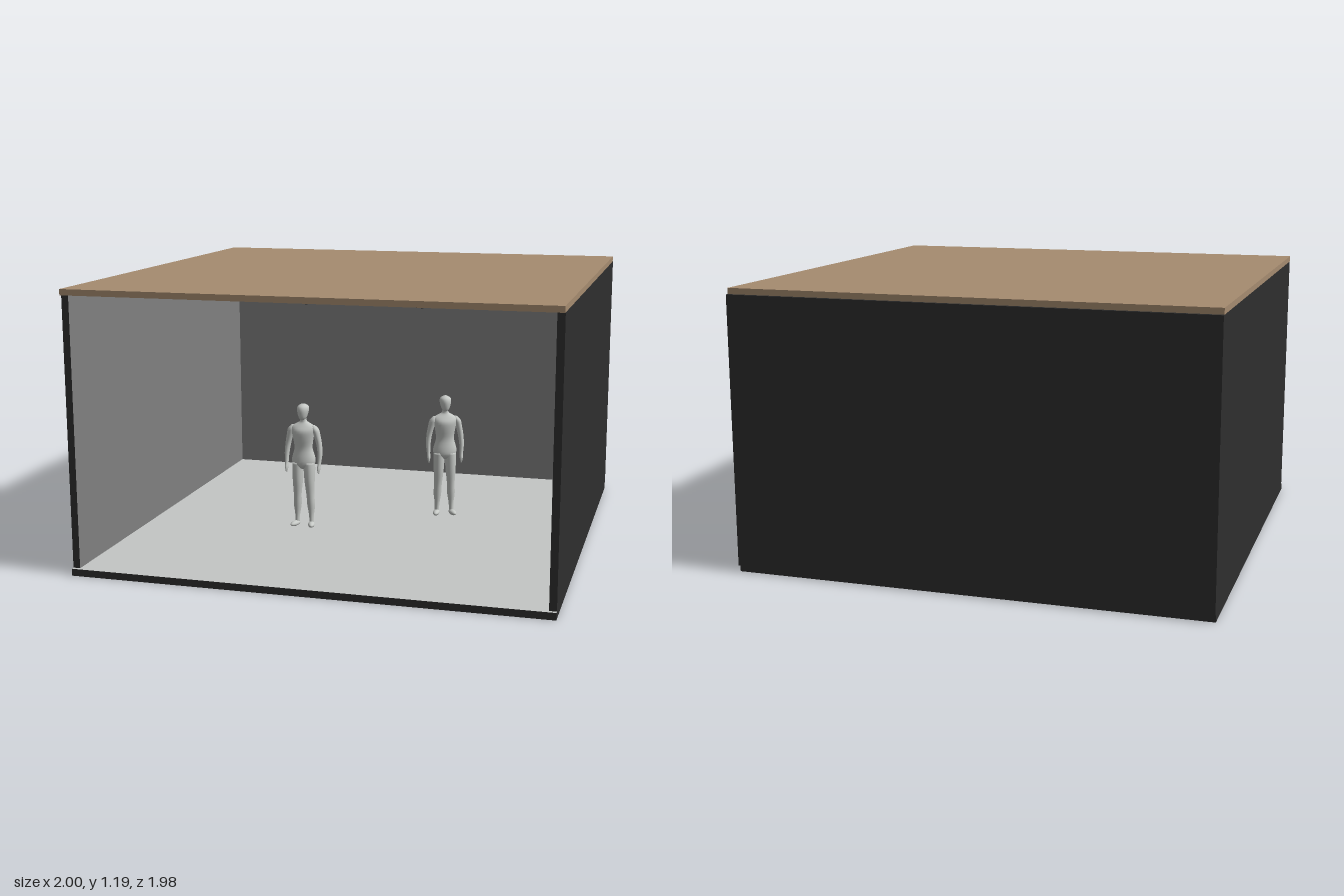
import * as THREE from 'three';

const mat = (name, color) => new THREE.MeshStandardMaterial({ name, color });

// Smooth closed skin through elliptical rings [x, y, z, radiusX, radiusZ], listed bottom to top
function loft(rings, sides = 18) {
  const pos = [], idx = [];
  const curve = (k, t) => {
    const n = rings.length - 1, f = t * n, i = Math.min(Math.floor(f), n - 1), u = f - i;
    const p = j => rings[Math.max(0, Math.min(n, j))][k];
    const m0 = (p(i + 1) - p(i - 1)) / 2, m1 = (p(i + 2) - p(i)) / 2;
    return p(i) * (2 * u ** 3 - 3 * u * u + 1) + m0 * (u ** 3 - 2 * u * u + u)
      + p(i + 1) * (3 * u * u - 2 * u ** 3) + m1 * (u ** 3 - u * u);
  };
  const steps = (rings.length - 1) * 3;
  for (let s = 0; s <= steps; s++) {
    const [x, y, z, rx, rz] = [0, 1, 2, 3, 4].map(k => curve(k, s / steps));
    for (let a = 0; a < sides; a++) {
      const t = a / sides * Math.PI * 2;
      pos.push(x + Math.sin(t) * rx, y, z + Math.cos(t) * rz);
      if (s < steps) {
        const b = (a + 1) % sides, p = s * sides, q = p + sides;
        idx.push(p + a, p + b, q + b, p + a, q + b, q + a);
      }
    }
  }
  // End caps
  [[0, 0], [steps, rings.length - 1]].forEach(([s, r]) => {
    const c = pos.length / 3;
    pos.push(rings[r][0], rings[r][1], rings[r][2]);
    for (let a = 0; a < sides; a++) {
      const p = s * sides + a, q = s * sides + (a + 1) % sides;
      idx.push(c, s ? p : q, s ? q : p);
    }
  });
  const g = new THREE.BufferGeometry();
  g.setAttribute('position', new THREE.Float32BufferAttribute(pos, 3));
  g.setIndex(idx);
  g.computeVertexNormals();
  return g;
}

export function createModel() {
  const dark = mat('charcoal', 0x2e2e2e);
  const grey = mat('wall grey', 0x808080);
  const wood = mat('ceiling wood', 0xa68c70);
  const pale = mat('floor pale grey', 0xc4c6c5);
  const body = mat('mannequin grey', 0xc6c9c6);

  const model = new THREE.Group();
  model.name = 'exhibitionRoom';
  const add = (parent, name, geo, material, x = 0, y = 0, z = 0) => {
    const m = new THREE.Mesh(geo, material);
    m.name = name;
    m.position.set(x, y, z);
    parent.add(m);
    return m;
  };
  const box = (w, h, d) => new THREE.BoxGeometry(w, h, d);
  // Box faces all dark except one (order: +x -x +y -y +z -z)
  const faces = (i, m) => Array.from({ length: 6 }, (_, k) => (k === i ? m : dark));

  // Room shell
  add(model, 'floor', box(2, 0.03, 1.965), faces(2, pale), 0, 0.015, 0.0075);
  add(model, 'ceiling', box(2, 0.025, 1.965), wood, 0, 1.1775, 0.0075);
  add(model, 'backWall', box(2, 1.135, 0.03), faces(4, grey), 0, 0.5975, -0.975);
  add(model, 'leftWall', box(0.03, 1.135, 1.935), faces(1, grey), 0.985, 0.5975, 0.0075);
  add(model, 'rightWall', box(0.03, 1.135, 1.935), faces(0, grey), -0.985, 0.5975, 0.0075);

  // Ceiling projectors, outer ones turned outwards
  [-1, 0, 1].forEach(side => {
    const p = new THREE.Group();
    p.name = 'projector';
    p.position.set(side * 0.243, 0, 0);
    p.rotation.y = -side * 0.42;
    add(p, 'projectorBody', box(0.115, 0.06, 0.125), dark, 0, 1.07, 0);
    add(p, 'ceilingPlate', box(0.09, 0.006, 0.09), dark, 0, 1.162, 0);
    for (const x of [-0.009, 0.009])
      add(p, 'hangerRod', new THREE.CylinderGeometry(0.003, 0.003, 0.062, 10), dark, x, 1.13, 0);
    const lens = add(p, 'lens', new THREE.CylinderGeometry(0.018, 0.018, 0.02, 20), dark, 0.025, 1.07, -0.07);
    lens.rotation.x = Math.PI / 2;
    model.add(p);
  });

  // Standing mannequins, y measured from the floor
  const torso = loft([
    [0, 0.27, 0, 0.022, 0.018], [0, 0.29, 0, 0.05, 0.034], [0, 0.32, -0.002, 0.054, 0.037],
    [0, 0.365, 0, 0.042, 0.03], [0, 0.41, 0.003, 0.047, 0.034], [0, 0.445, 0.003, 0.054, 0.036],
    [0, 0.466, 0, 0.055, 0.027], [0, 0.48, -0.003, 0.032, 0.02], [0, 0.492, -0.002, 0.015, 0.015],
    [0, 0.52, 0.003, 0.013, 0.014]], 24);
  const head = loft([
    [0, 0.498, 0.012, 0.006, 0.008], [0, 0.506, 0.009, 0.016, 0.02], [0, 0.525, 0.006, 0.023, 0.029],
    [0, 0.545, 0.003, 0.027, 0.033], [0, 0.56, 0.001, 0.023, 0.028], [0, 0.569, 0, 0.008, 0.01]], 24);
  const arm = s => loft([
    [s * 0.076, 0.255, 0.018, 0.003, 0.008], [s * 0.076, 0.275, 0.016, 0.007, 0.014],
    [s * 0.077, 0.3, 0.01, 0.008, 0.01], [s * 0.078, 0.34, 0.002, 0.011, 0.013],
    [s * 0.073, 0.385, -0.003, 0.013, 0.015], [s * 0.064, 0.425, -0.002, 0.015, 0.018],
    [s * 0.056, 0.455, 0, 0.016, 0.019], [s * 0.048, 0.472, 0, 0.007, 0.008]]);
  const leg = s => loft([
    [s * 0.034, 0.012, -0.006, 0.011, 0.013], [s * 0.033, 0.05, -0.006, 0.011, 0.014],
    [s * 0.032, 0.1, -0.006, 0.018, 0.021], [s * 0.03, 0.15, 0, 0.018, 0.02],
    [s * 0.028, 0.21, 0.002, 0.023, 0.027], [s * 0.027, 0.265, 0, 0.026, 0.032],
    [s * 0.026, 0.3, 0, 0.026, 0.032]]);

  function mannequin(x, z, turn) {
    const m = new THREE.Group();
    m.name = 'mannequin';
    m.position.set(x, 0.03, z);
    m.rotation.y = turn;
    add(m, 'torso', torso, body);
    add(m, 'head', head, body);
    for (const s of [-1, 1]) {
      add(m, s > 0 ? 'leftArm' : 'rightArm', arm(s), body);
      add(m, s > 0 ? 'leftLeg' : 'rightLeg', leg(s), body);
      const foot = add(m, s > 0 ? 'leftFoot' : 'rightFoot',
        new THREE.SphereGeometry(1, 18, 12), body, s * 0.038, 0.012, 0.014);
      foot.scale.set(0.015, 0.012, 0.036);
      foot.rotation.y = s * 0.25;
    }
    model.add(m);
  }
  mannequin(-0.26, 0.15, 0);
  mannequin(0.32, -0.2, 0.3);

  return model;
}
